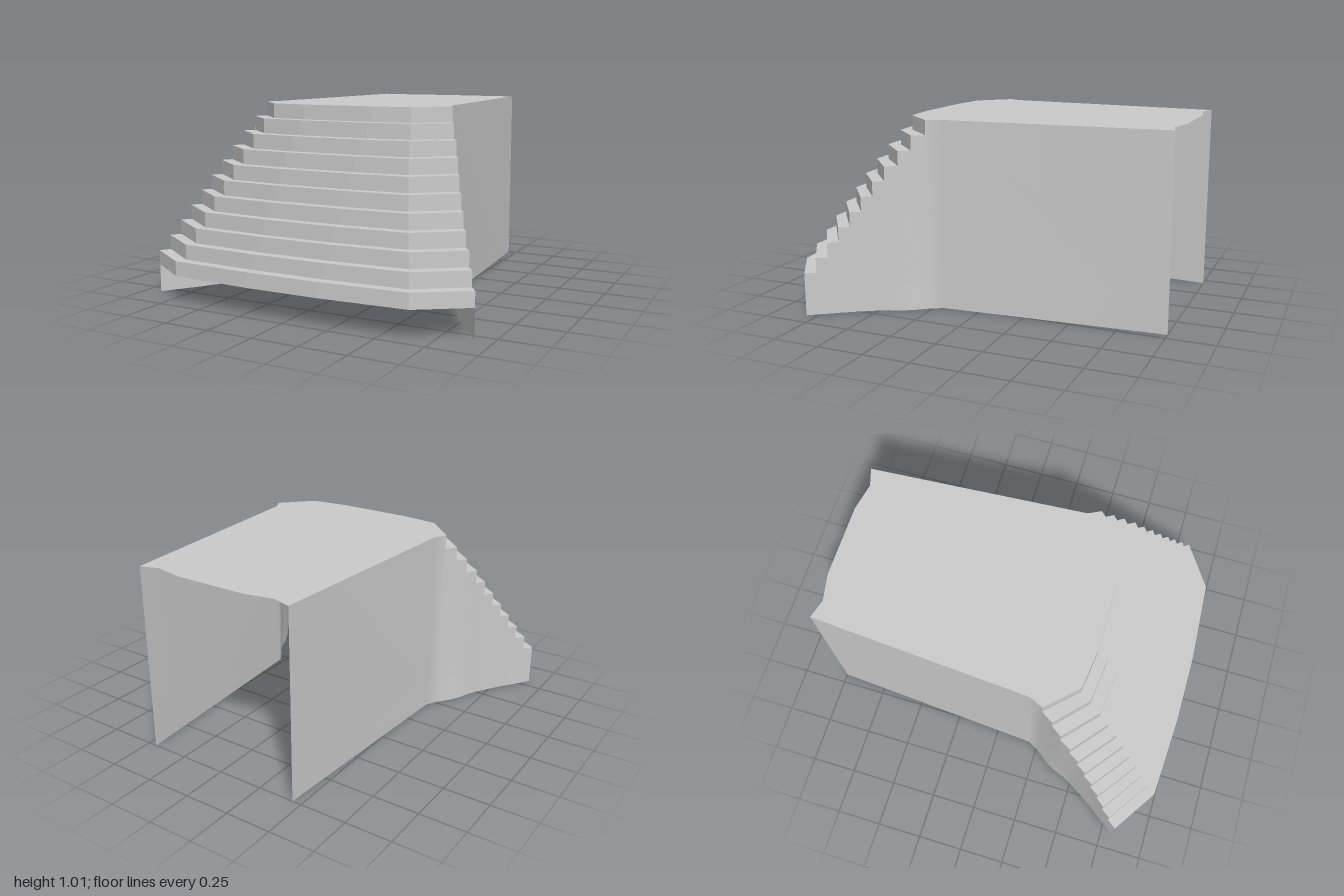
import * as THREE from 'three';
import { mergeVertices } from 'three/addons/utils/BufferGeometryUtils.js';

const STEPS = 11, TOP = 1.015, RISE = 0.0786;
const material = new THREE.MeshStandardMaterial({ color: 0xcccccc, side: THREE.DoubleSide });

// Plan of each step edge, from the top step down: centre z, outer corner x and z
const frontZ = [0.455, 0.515, 0.58, 0.637, 0.695, 0.745, 0.797, 0.848, 0.895, 0.947, 1.0];
const outerX = [0.565, 0.602, 0.64, 0.675, 0.705, 0.738, 0.77, 0.804, 0.84, 0.875, 0.91];
const outerZ = [0.27, 0.335, 0.392, 0.455, 0.51, 0.562, 0.613, 0.663, 0.71, 0.76, 0.81];
const topOf = (k) => TOP - RISE * k;

// Six-point nosing line of step k, left to right across x
function nosing(k, y) {
  const cx = 0.41 + 0.025 * k;
  const half = [[0.2, frontZ[k]], [cx, frontZ[k] - 0.025], [outerX[k], outerZ[k]]];
  return [
    ...half.slice().reverse().map(([x, z]) => [-x, y, z]),
    ...half.map(([x, z]) => [x, y, z]),
  ];
}

// Quads between two matching lines, as a list of triangle corners
function strip(a, b) {
  const out = [];
  for (let i = 0; i < a.length - 1; i++) {
    out.push(a[i], a[i + 1], b[i + 1], a[i], b[i + 1], b[i]);
  }
  return out;
}

function sheet(name, corners, smooth = false) {
  let g = new THREE.BufferGeometry();
  g.setAttribute('position', new THREE.Float32BufferAttribute(corners.flat(), 3));
  if (smooth) g = mergeVertices(g);
  g.computeVertexNormals();
  const mesh = new THREE.Mesh(g, material);
  mesh.name = name;
  return mesh;
}

// Side wall with a stepped upper edge and a slight bulge at the foot of the bend
function sideWall(name, side) {
  const plan = [
    { x: 0.45, z: -1, bulge: 0 },
    { x: 0.53, z: 0.2, bulge: 0 },
    ...outerX.map((x, k) => ({ x, z: outerZ[k], bulge: [0.006, 0.02, 0.012][k] || 0 })),
  ];
  const column = (p, top) => [0, 0.07, 0.2, top].map((y, row) =>
    [side * (p.x + p.bulge * [1, 0.9, 0.3, 0][row]), y, p.z]);
  const corners = [];
  for (let i = 0; i < plan.length - 1; i++) {
    const top = topOf(Math.max(0, i - 1));
    const back = column(plan[i], top), front = column(plan[i + 1], top);
    corners.push(...(side > 0 ? strip(back, front) : strip(front, back)));
  }
  return sheet(name, corners, true);
}

export function createModel() {
  const model = new THREE.Group();
  model.name = 'staircase';

  // Risers and treads
  const steps = new THREE.Group();
  steps.name = 'steps';
  for (let k = 0; k < STEPS; k++) {
    const y = topOf(k);
    steps.add(sheet('riser', strip(nosing(k, y - RISE), nosing(k, y))));
    if (k > 0) steps.add(sheet('tread', strip(nosing(k, y), nosing(k - 1, y))));
  }
  model.add(steps);

  // Flat landing with a notched back edge
  const outline = [
    ...nosing(0, 0).map(([x, , z]) => [x, z]),
    [0.53, 0.2], [0.45, -1], [0.35, -0.97], [0.2, -1],
    [-0.2, -1], [-0.35, -0.97], [-0.45, -1], [-0.53, 0.2],
  ];
  const shape = new THREE.Shape(outline.map(([x, z]) => new THREE.Vector2(x, -z)));
  const landing = new THREE.Mesh(new THREE.ShapeGeometry(shape).rotateX(-Math.PI / 2), material);
  landing.position.y = TOP;
  landing.name = 'landing';
  model.add(landing);

  model.add(sideWall('leftWall', 1), sideWall('rightWall', -1));
  return model;
}
